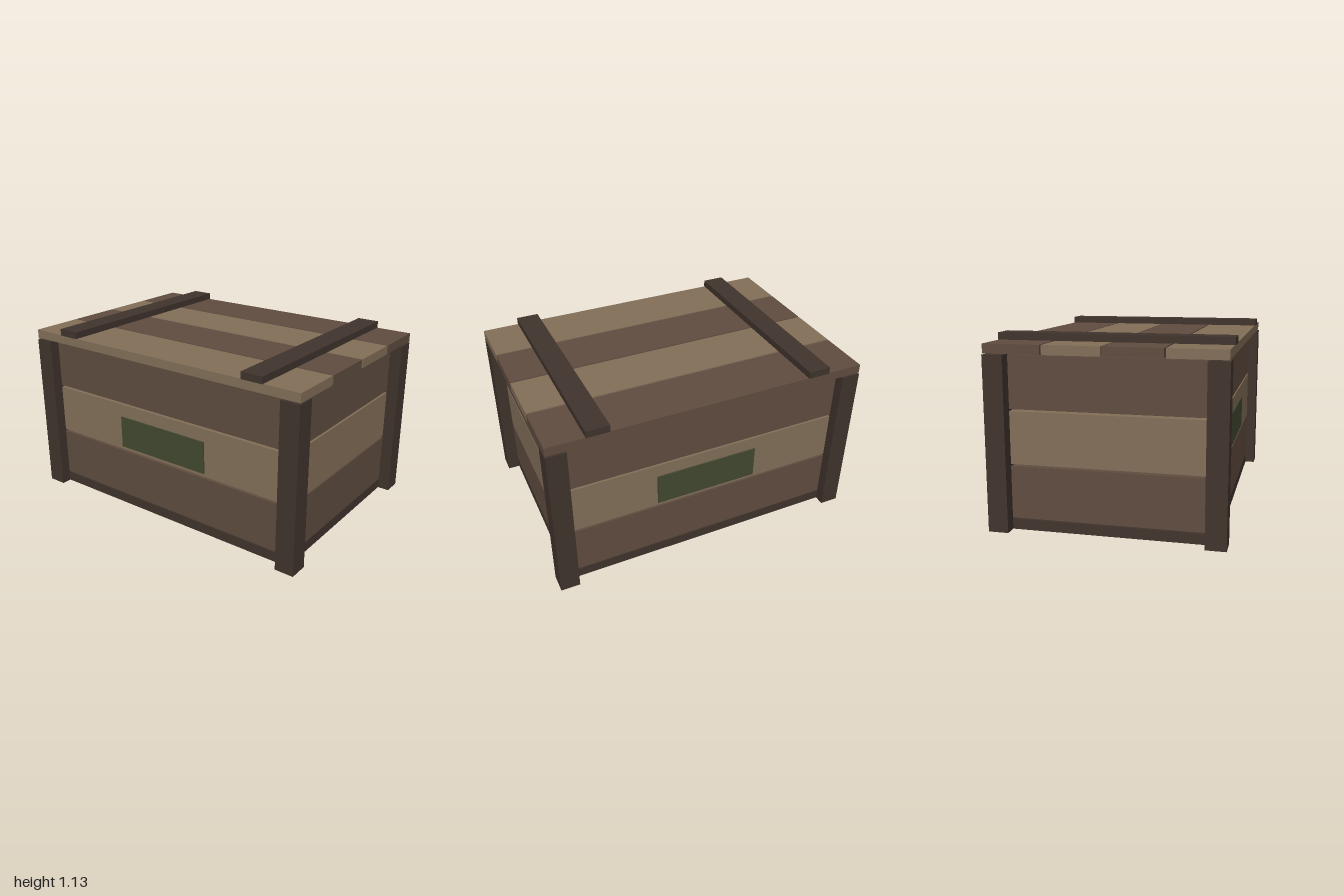
import * as THREE from 'three';

const mat = (name, color) => {
  const m = new THREE.MeshStandardMaterial({ color });
  m.name = name;
  return m;
};

export function createModel() {
  const light = mat('light wood', 0x836f59);
  const mid = mat('brown wood', 0x604d40);
  const dark = mat('dark wood', 0x41342d);
  const green = mat('green paint', 0x434932);

  const crate = new THREE.Group();
  crate.name = 'crate';

  // box given by its size and centre
  const box = (name, material, [w, h, d], [x, y, z]) => {
    const mesh = new THREE.Mesh(new THREE.BoxGeometry(w, h, d), material);
    mesh.name = name;
    mesh.position.set(x, y, z);
    crate.add(mesh);
  };

  // floor, set in from the posts
  box('floor', dark, [1.85, 0.063, 1.25], [0, 0.0315, 0]);

  // corner posts
  for (const sx of [-1, 1])
    for (const sz of [-1, 1])
      box('cornerPost', dark, [0.12, 1.03, 0.12], [sx * 0.94, 0.515, sz * 0.63]);

  // three planks on each wall, with open gaps between them
  for (let i = 0; i < 3; i++) {
    const y = 0.225 + i * 0.3225;
    const material = i === 1 ? light : mid;
    for (const s of [-1, 1]) {
      box('longWallPlank', material, [1.76, 0.31, 0.06], [0, y, s * 0.595]);
      box('endWallPlank', material, [0.06, 0.31, 1.14], [s * 0.895, y, 0]);
    }
  }

  // painted panel on front and back
  for (const s of [-1, 1])
    box('paintedPanel', green, [0.66, 0.205, 0.009], [0, 0.5175, s * 0.6295]);

  // lid planks, alternating from back to front
  for (let i = 0; i < 4; i++)
    box('lidPlank', i % 2 ? light : mid, [2, 0.055, 0.335], [0, 1.065, (i - 1.5) * 0.345]);

  // battens across the lid
  for (const s of [-1, 1])
    box('lidBatten', dark, [0.14, 0.043, 1.38], [s * 0.7, 1.1135, 0]);

  return crate;
}
